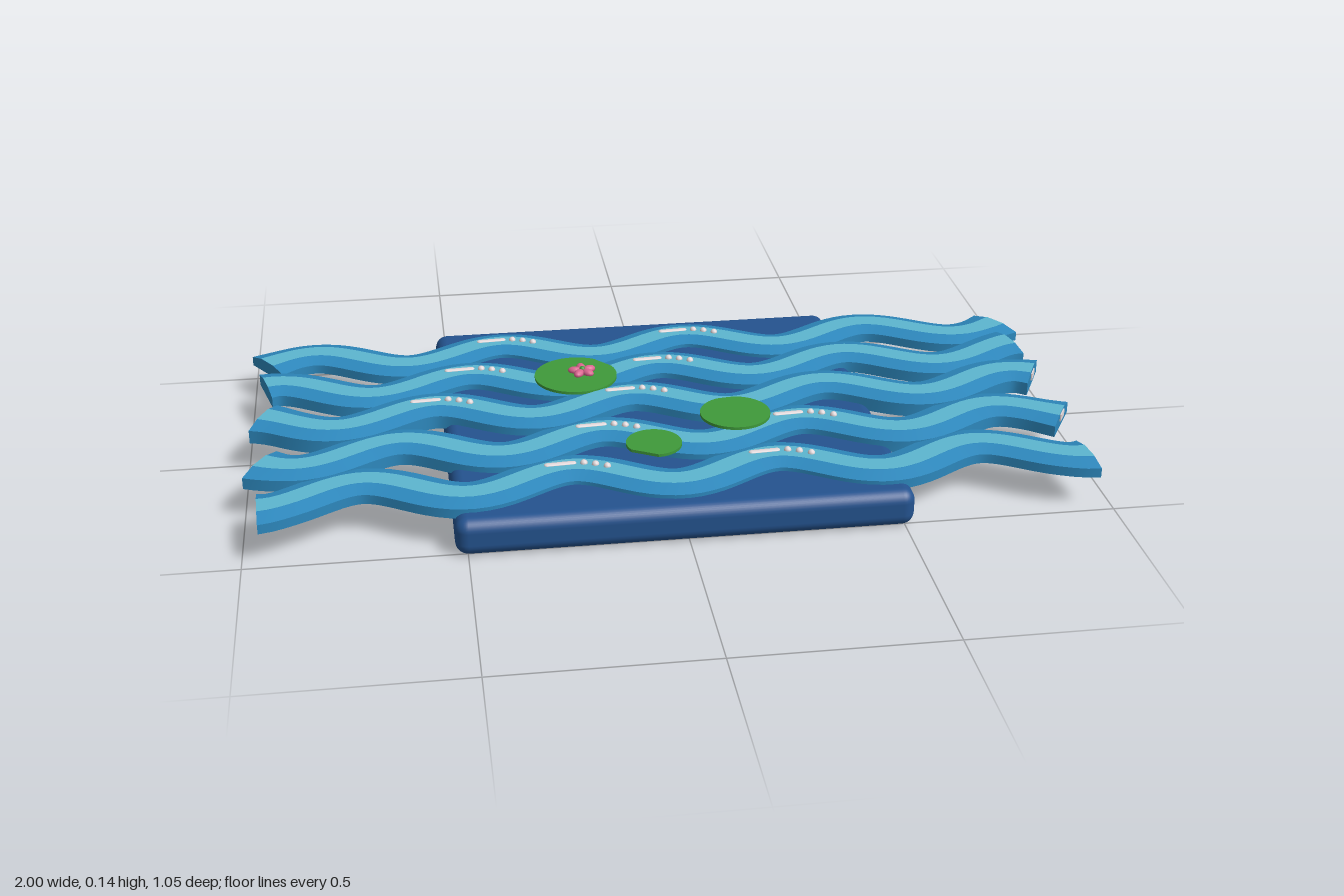
import * as THREE from 'three';
import { RoundedBoxGeometry } from 'three/addons/geometries/RoundedBoxGeometry.js';

const mat = (name, color) => {
  const m = new THREE.MeshStandardMaterial({ color });
  m.name = name;
  return m;
};

const AMP = 0.05, PERIOD = 0.48, K = (2 * Math.PI) / PERIOD, HALF = 0.962;

// Sweep consecutive profile points [offset, height] along a wave; creased across, smooth along.
function sweep(profile, wave, steps, caps) {
  const pos = [], idx = [];
  const at = (i, [o, y]) => {
    const x = -HALF + (2 * HALF * i) / steps;
    const { z, slope } = wave(x);
    const l = Math.hypot(1, slope);
    // the ends flare out slightly
    const flare = 1 + 0.13 * Math.max(0, (Math.abs(x) - HALF + 0.05) / 0.05);
    return [x - (slope / l) * o * flare, y, z + (o * flare) / l];
  };
  for (let s = 0; s < profile.length - 1; s++) {
    const base = pos.length / 3;
    for (let i = 0; i <= steps; i++) {
      pos.push(...at(i, profile[s]), ...at(i, profile[s + 1]));
      if (i === steps) continue;
      const a = base + 2 * i;
      idx.push(a, a + 1, a + 2, a + 1, a + 3, a + 2);
    }
  }
  if (caps) for (const i of [0, steps]) {
    const base = pos.length / 3, n = profile.length - 1;
    for (let p = 0; p < n; p++) pos.push(...at(i, profile[p]));
    for (let p = 1; p < n - 1; p++) {
      if (i) idx.push(base, base + p, base + p + 1);
      else idx.push(base, base + p + 1, base + p);
    }
  }
  const g = new THREE.BufferGeometry();
  g.setAttribute('position', new THREE.Float32BufferAttribute(pos, 3));
  g.setIndex(idx);
  g.computeVertexNormals();
  return g;
}

// Round leaf with a wedge cut out towards the angle dir
function padGeometry(radius, dir, gap) {
  const s = new THREE.Shape();
  s.moveTo(0, 0);
  s.absarc(0, 0, radius, dir + gap / 2, dir - gap / 2 + 2 * Math.PI, false);
  s.closePath();
  const g = new THREE.ExtrudeGeometry(s, { depth: 0.007, bevelEnabled: false, curveSegments: 28 });
  return g.rotateX(-Math.PI / 2);
}

export function createModel() {
  const deep = mat('deep blue', 0x24538f);
  const water = mat('water blue', 0x2d88bd);
  const crest = mat('crest cyan', 0x5cb6d0);
  const foam = mat('foam white', 0xe2d8da);
  const leaf = mat('leaf green', 0x3f9a3a);
  const pink = mat('petal pink', 0xd9658f);

  const model = new THREE.Group();
  const add = (parent, name, geo, material, x = 0, y = 0, z = 0) => {
    const m = new THREE.Mesh(geo, material);
    m.name = name;
    m.position.set(x, y, z);
    parent.add(m);
    return m;
  };

  add(model, 'base', new RoundedBoxGeometry(1.05, 0.09, 1.05, 4, 0.03), deep, -0.003, 0.045, -0.003);

  // Five wavy ribbons, each a little out of phase with the one behind it
  const bubble = new THREE.SphereGeometry(0.009, 10, 6);
  for (let r = 0; r < 5; r++) {
    const ribbon = new THREE.Group();
    ribbon.name = 'waveRibbon' + (r + 1);
    model.add(ribbon);
    const z0 = (r - 2) * 0.18;
    const peak = -0.36 - r * 0.092;
    const top = 0.119 - Math.abs(r - 2) * 0.005;
    const wave = (x) => ({
      z: z0 - AMP * Math.cos(K * (x - peak)),
      slope: AMP * K * Math.sin(K * (x - peak)),
    });
    const w = 0.065, c = 0.026, low = 0.076, rim = top - 0.01;
    const body = [[-w, low], [-w, rim], [-c, top], [c, top], [w, rim], [w, low], [-w, low]];
    add(ribbon, 'ribbonBody', sweep(body, wave, 96, true), water);
    add(ribbon, 'crestStripe', sweep([[-c, top + 0.001], [c, top + 0.001]], wave, 96, false), crest);

    // Foam streak and bubbles on two crests
    const first = r > 2 ? peak + PERIOD : peak;
    for (const px of [first, first + PERIOD]) {
      const streak = add(ribbon, 'foamStreak', new THREE.CapsuleGeometry(0.008, 0.06, 4, 10), foam,
        px - 0.025, top + 0.001, wave(px - 0.025).z - 0.005);
      streak.rotation.set(0, 0.06, Math.PI / 2);
      streak.scale.x = 0.5;
      for (let b = 0; b < 3; b++) {
        const bx = px + 0.03 + b * 0.026;
        add(ribbon, 'foamBubble', bubble, foam, bx, top + 0.001, wave(bx).z - 0.004);
      }
    }

    // Pale plate on the right-hand end face of two ribbons
    if (r === 2 || r === 3) {
      const e = wave(HALF);
      const plate = add(ribbon, 'endFoam', new THREE.BoxGeometry(0.006, 0.018, 0.038), foam,
        HALF, 0.102, e.z);
      plate.rotation.y = -Math.atan(e.slope);
    }
  }

  // Lily pads: x, y, z, radius, notch direction, notch width
  const pads = [
    [-0.19, 0.117, -0.145, 0.103, 0.7, 0.6],
    [0.17, 0.117, 0.12, 0.085, 1.7, 0.5],
    [-0.045, 0.112, 0.242, 0.066, 4.2, 1.1],
  ];
  for (const [x, y, z, radius, dir, gap] of pads)
    add(model, 'lilyPad', padGeometry(radius, dir, gap), leaf, x, y, z);

  // Flower on the large pad
  const flower = new THREE.Group();
  flower.name = 'flower';
  flower.position.set(-0.172, 0.128, -0.157);
  model.add(flower);
  const petal = new THREE.SphereGeometry(0.014, 12, 8).scale(1.25, 0.7, 0.85);
  for (let i = 0; i < 5; i++) {
    const a = (i / 5) * 2 * Math.PI + 0.4;
    add(flower, 'petal', petal, pink, Math.cos(a) * 0.019, 0, -Math.sin(a) * 0.019).rotation.y = a;
  }
  add(flower, 'flowerCentre', new THREE.SphereGeometry(0.008, 10, 8), leaf, 0, 0.004, 0);

  return model;
}
